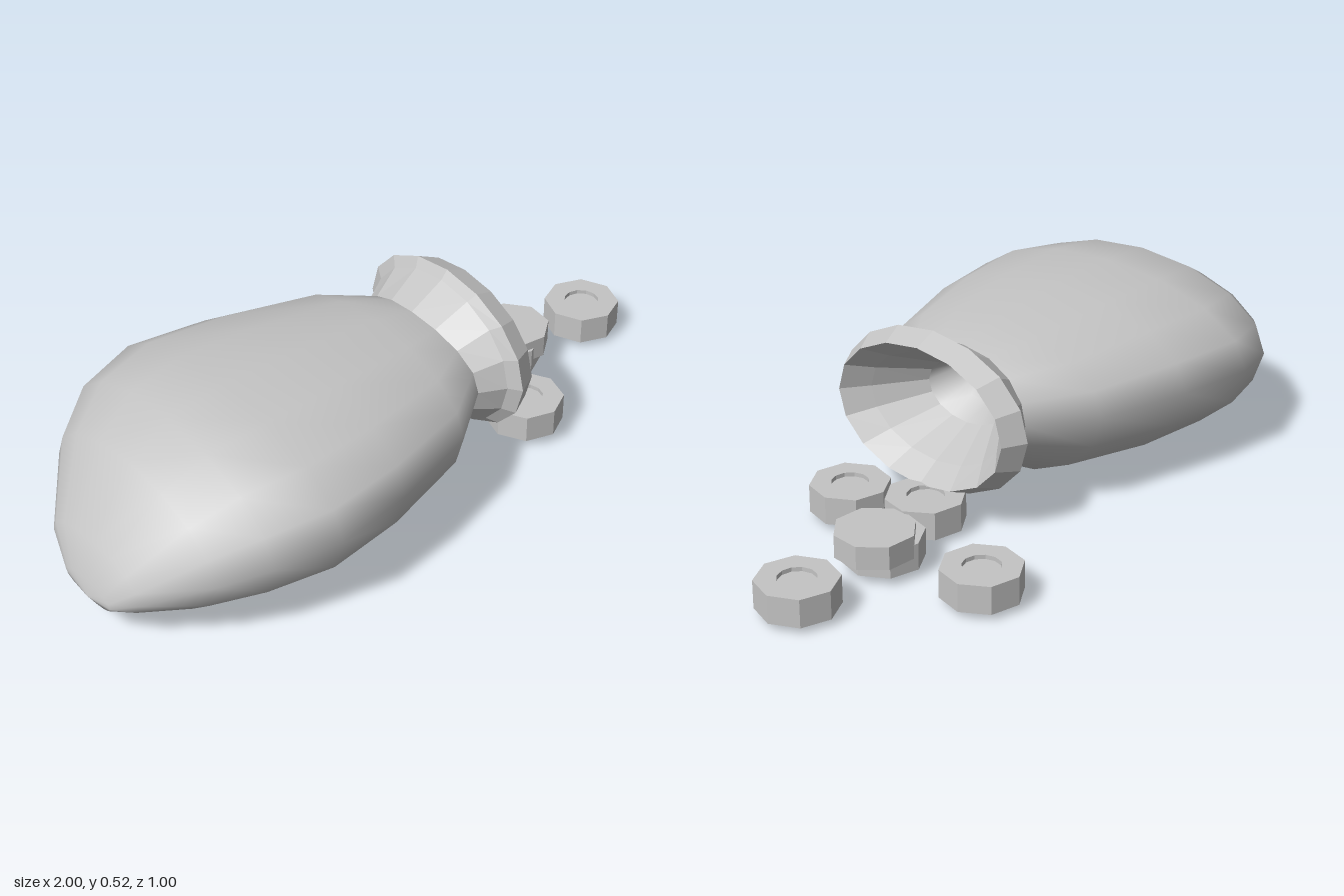
import * as THREE from 'three';

const SIDES = 16;

// Skin a row of oval rings along x: [x, yMid, up, down, halfDepth, zMid, bow]
function loft(rings, flat) {
  const pos = [], idx = [];
  for (const [x, y, up, down, rz, zc = 0.015, bow = 0] of rings) {
    for (let j = 0; j < SIDES; j++) {
      const a = (j / SIDES) * Math.PI * 2, c = Math.cos(a), s = Math.sin(a);
      pos.push(x - bow * c * c, y + c * (c > 0 ? up : down), zc + rz * s);
    }
  }
  for (let i = 0; i < rings.length - 1; i++) {
    for (let j = 0; j < SIDES; j++) {
      const k = (j + 1) % SIDES;
      const a = i * SIDES + j, b = i * SIDES + k, c = b + SIDES, d = a + SIDES;
      idx.push(a, b, c, a, c, d);
    }
  }
  let geo = new THREE.BufferGeometry();
  geo.setAttribute('position', new THREE.Float32BufferAttribute(pos, 3));
  geo.setIndex(idx);
  if (flat) geo = geo.toNonIndexed();
  geo.computeVertexNormals();
  return geo;
}

// Octagonal coin lying flat, with a shallow round recess on both faces
function makeCoin(material, height, turn, recessed) {
  const coin = new THREE.Group();
  const outline = [];
  for (let i = 0; i < 8; i++) {
    const a = (i / 8) * Math.PI * 2 + turn;
    outline.push(new THREE.Vector2(Math.cos(a) * 0.111, Math.sin(a) * 0.111));
  }
  const shape = new THREE.Shape(outline);
  if (recessed) shape.holes.push(new THREE.Path().absarc(0, 0, 0.052, 0, Math.PI * 2, true));
  const geo = new THREE.ExtrudeGeometry(shape, { depth: height, bevelEnabled: false, curveSegments: 6 });
  geo.rotateX(-Math.PI / 2);
  geo.translate(0, -height / 2, 0);
  const body = new THREE.Mesh(geo, material);
  body.name = 'coinRim';
  coin.add(body);
  if (recessed) {
    const core = new THREE.Mesh(new THREE.CylinderGeometry(0.053, 0.053, height - 0.024, 12), material);
    core.name = 'coinCentre';
    coin.add(core);
  }
  return coin;
}

export function createModel() {
  const model = new THREE.Group();
  model.name = 'spilledCoinBag';
  const grey = new THREE.MeshStandardMaterial({ color: 0xc4c4c4 });
  grey.name = 'plain grey';

  const add = (name, geo) => {
    const mesh = new THREE.Mesh(geo, grey);
    mesh.name = name;
    model.add(mesh);
  };

  // Sagging sack body, closed at its left end
  add('sack', loft([
    [-1.0, 0.1, 0, 0, 0, 0.08],
    [-0.99, 0.11, 0.03, 0.025, 0.1, 0.07],
    [-0.95, 0.15, 0.08, 0.08, 0.195, 0.05],
    [-0.81, 0.22, 0.18, 0.195, 0.35, 0.025],
    [-0.68, 0.26, 0.215, 0.245, 0.437],
    [-0.5, 0.285, 0.212, 0.28, 0.487, 0.012],
    [-0.27, 0.29, 0.205, 0.282, 0.45],
    [0.0, 0.29, 0.185, 0.245, 0.367],
    [0.165, 0.29, 0.155, 0.165, 0.24, 0.015, 0.035],
  ], false));

  // Tied neck and flared collar
  add('collar', loft([
    [0.165, 0.29, 0.155, 0.165, 0.24, 0.015, 0.035],
    [0.235, 0.295, 0.21, 0.21, 0.28],
    [0.255, 0.3, 0.23, 0.23, 0.32],
    [0.32, 0.3, 0.202, 0.2, 0.285],
  ], true));

  // Funnel-shaped mouth and its rounded floor
  add('mouth', loft([
    [0.32, 0.3, 0.202, 0.2, 0.285],
    [0.25, 0.3, 0.155, 0.155, 0.23],
    [0.12, 0.3, 0.088, 0.09, 0.135],
  ], true));
  add('mouthFloor', loft([
    [0.12, 0.3, 0.088, 0.09, 0.135],
    [0.06, 0.325, 0.055, 0.07, 0.09],
    [0.03, 0.36, 0, 0, 0],
  ], false));

  // Coins: x, y, z, height, turn, recessed
  const coins = [
    [0.55, 0.065, -0.395, 0.08, 0.12, true],
    [0.887, 0.065, -0.08, 0.08, 0.03, true],
    [0.43, 0.065, 0.165, 0.08, 0.1, true],
    [0.357, 0.065, -0.04, 0.08, 0.15, true],
    [0.58, 0.067, -0.09, 0.076, 0.1, true],
    [0.611, 0.098, -0.09, 0.066, 0.28, false],
  ];
  coins.forEach(([x, y, z, h, turn, recessed], i) => {
    const coin = makeCoin(grey, h, turn, recessed);
    coin.name = 'coin' + (i + 1);
    coin.position.set(x, y, z);
    model.add(coin);
  });
  return model;
}
